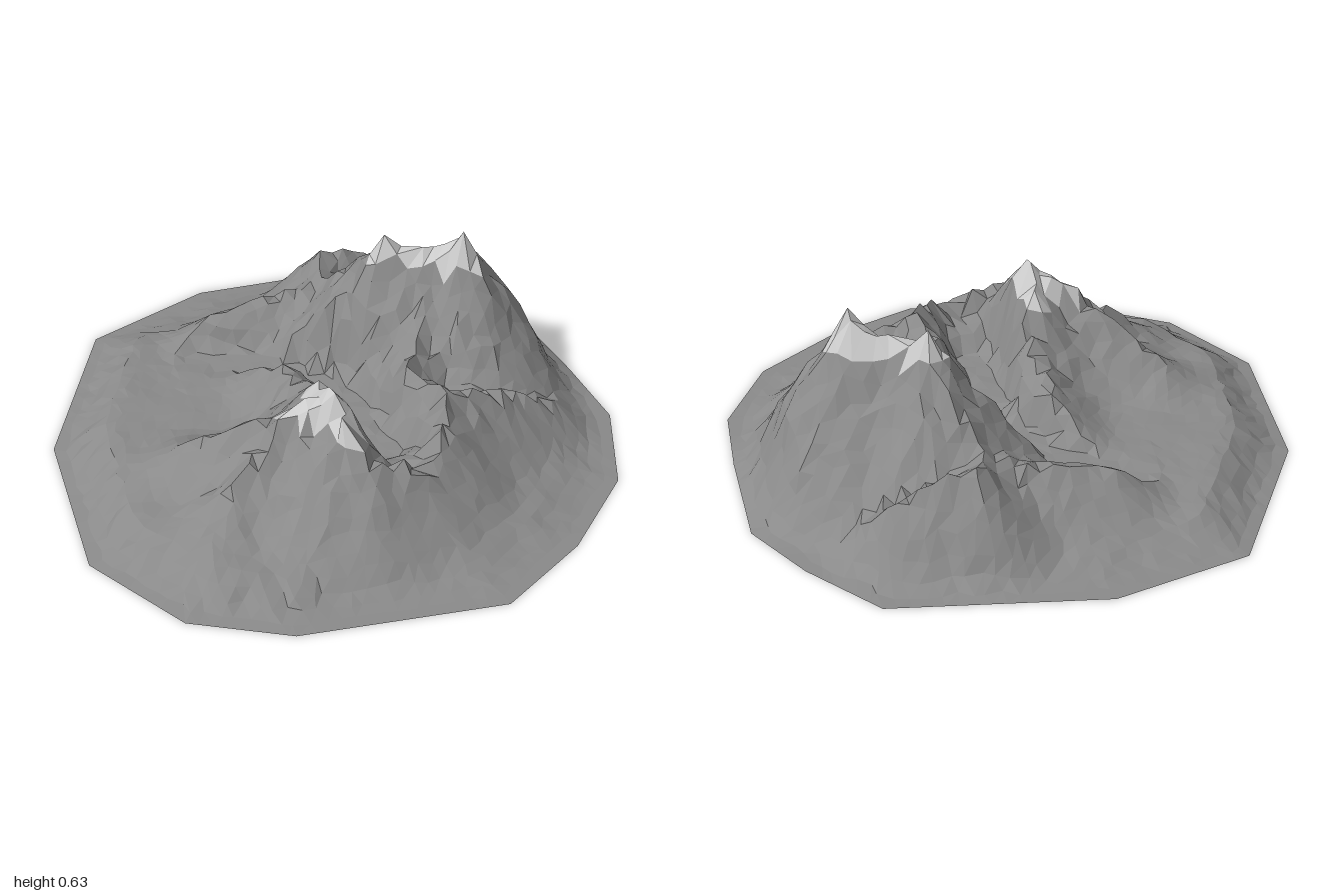
import * as THREE from 'three';

// Ground outline as x, z corners, clockwise seen from above
const OUTLINE = [[-.12, -1], [.59, -.9], [.8, -.66], [.95, -.42], [.975, 0], [.975, .3], [.82, .62], [.53, .85],
  [.2, 1], [-.48, .86], [-.78, .67], [-.98, .3], [-.92, -.31], [-.59, -.87]];

// Summits, saddles and feet as x, z, height
const west = [-.14, .33, .5], westShoulder = [-.25, .29, .42], westFoot = [-.55, .08, .14];
const southWestFoot = [-.5, .36, .16], southSpur = [-.14, .43, .43], frontKnob = [-.1, .56, .28];
const northSpur = [-.13, .22, .43], northLedge = [-.1, .13, .28], northFoot = [-.11, -.2, .17];
const saddle = [.06, .54, .26], frontBend = [.2, .47, .27], frontPeak = [.29, .33, .32], frontFoot = [.75, .28, .09];
const east = [.57, -.13, .635], eastDip = [.45, -.2, .56], eastTwin = [.33, -.27, .6], eastFoot = [.2, -.25, .42];
const eastShoulder = [.68, -.05, .38], eastSaddle = [.6, .13, .19], cirque = [.34, 0, .31], gorgeWall = [.23, .14, .28];
const col = [.2, -.53, .23], backPeak = [.25, -.66, .3], backFoot = [.53, -.65, .17], backWest = [-.22, -.59, .14];

// Crest lines joining them
const RIDGES = [
  [eastFoot, eastTwin, eastDip, east, eastShoulder, eastSaddle],
  [eastTwin, col, backPeak, backFoot],
  [col, backWest],
  [eastDip, cirque, gorgeWall, frontPeak, frontFoot],
  [frontPeak, frontBend, saddle, frontKnob, southSpur, west],
  [west, westShoulder, westFoot],
  [westShoulder, southWestFoot],
  [west, northSpur, northLedge, northFoot],
];

// Valley floor, draining to the north-west
const VALLEY = [[-.3, -.48, .09], [-.12, -.36, .1], [.07, -.14, .11], [.08, .32, .14], [.08, .46, .22]];

function seeded(seed) {
  return () => {
    seed = (seed * 16807) % 2147483647;
    return seed / 2147483647;
  };
}

// Calls visit(distance, height) for each stretch of a crest or valley line
function eachStretch(line, x, z, visit) {
  for (let i = 0; i + 1 < line.length; i++) {
    const [ax, az, ah] = line[i], [bx, bz, bh] = line[i + 1];
    const dx = bx - ax, dz = bz - az;
    const s = THREE.MathUtils.clamp(((x - ax) * dx + (z - az) * dz) / (dx * dx + dz * dz), 0, 1);
    visit(Math.hypot(x - ax - s * dx, z - az - s * dz), ah + s * (bh - ah));
  }
}

// Height from the crest slopes, an apron that forms a bench in the west, and the carved valley
function heightAt(x, z, t) {
  let crest = 0;
  for (const line of RIDGES) {
    eachStretch(line, x, z, (d, h) => {
      crest = Math.max(crest, h * Math.max(0, 1 - d / (.12 + .6 * h)) ** 1.45);
    });
  }
  const { smoothstep, lerp } = THREE.MathUtils;
  const skirt = .1 * smoothstep(1 - t, -.05, .5);
  const bench = .1 * smoothstep(1 - t, -.04, .22);
  const apron = lerp(skirt, bench, smoothstep(-x, .2, .65));
  let y = crest + apron * Math.max(0, 1 - crest / .5);
  eachStretch(VALLEY, x, z, (d, h) => {
    y = Math.min(y, h + Math.max(0, d - .07) * 3);
  });
  return y * Math.min(1, (1 - t) * 6);
}

function faces(name, positions, color) {
  const geometry = new THREE.BufferGeometry();
  geometry.setAttribute('position', new THREE.Float32BufferAttribute(positions, 3));
  geometry.computeVertexNormals();
  const mesh = new THREE.Mesh(geometry, new THREE.MeshStandardMaterial({
    color, flatShading: true, side: THREE.DoubleSide,
  }));
  mesh.name = name;
  return mesh;
}

// Moves the point nearest to x, z onto it
function pullNearest(points, x, z) {
  const gap = (p) => Math.hypot(p.x - x, p.z - z);
  const near = points.reduce((best, p) => (gap(p) < gap(best) ? p : best));
  near.x = x;
  near.z = z;
}

export function createModel() {
  const random = seeded(4711);
  const group = new THREE.Group();
  group.name = 'mountain';

  // Jittered rings from the centre out to the rim, ring r with 6r points
  const RINGS = 22;
  const outline = new THREE.Path(OUTLINE.map(([x, z]) => new THREE.Vector2(x, z)));
  outline.closePath();
  const rings = [[{ x: 0, z: 0, t: 0 }]];
  for (let r = 1; r <= RINGS; r++) {
    const t = r / RINGS;
    const loose = r < RINGS ? .024 : 0;
    rings.push(outline.getSpacedPoints(6 * r).slice(0, -1).map((p) => ({
      x: p.x * t + (random() - .5) * loose,
      z: p.y * t + (random() - .5) * loose,
      t,
    })));
  }

  // Keep the outline corners and the summits sharp
  for (const [x, z] of OUTLINE) pullNearest(rings[RINGS], x, z);
  const inner = rings.slice(0, RINGS - 1).flat();
  for (const [x, z] of new Set(RIDGES.flat())) pullNearest(inner, x, z);

  // Heights with a little roughness on the middle slopes
  for (const p of rings.flat()) {
    const y = heightAt(p.x, p.z, p.t);
    const rough = y > .48 ? 0 : .1 * Math.min(1, y / .25);
    p.y = y * (1 + (random() - .5) * rough);
  }

  // Sort the facets into rock and snow
  const rock = [], snow = [];
  const addFacet = (...corners) => {
    const mid = (key) => corners.reduce((sum, p) => sum + p[key], 0) / 3;
    const snowLine = mid('x') < .1 ? .385 : .5;
    const target = mid('y') > snowLine ? snow : rock;
    for (const p of corners) target.push(p.x, p.y, p.z);
  };
  for (let r = 1; r <= RINGS; r++) {
    const outer = (k) => rings[r][k % rings[r].length];
    const within = (k) => rings[r - 1][k % rings[r - 1].length];
    for (let sector = 0; sector < 6; sector++) {
      for (let j = 0; j < r; j++) {
        const o = sector * r + j, n = sector * (r - 1) + j;
        addFacet(within(n), outer(o + 1), outer(o));
        if (j < r - 1) addFacet(within(n), within(n + 1), outer(o + 1));
      }
    }
  }

  group.add(faces('rockSlopes', rock, 0x8a8a8a), faces('snowCaps', snow, 0xcccccc));
  return group;
}
